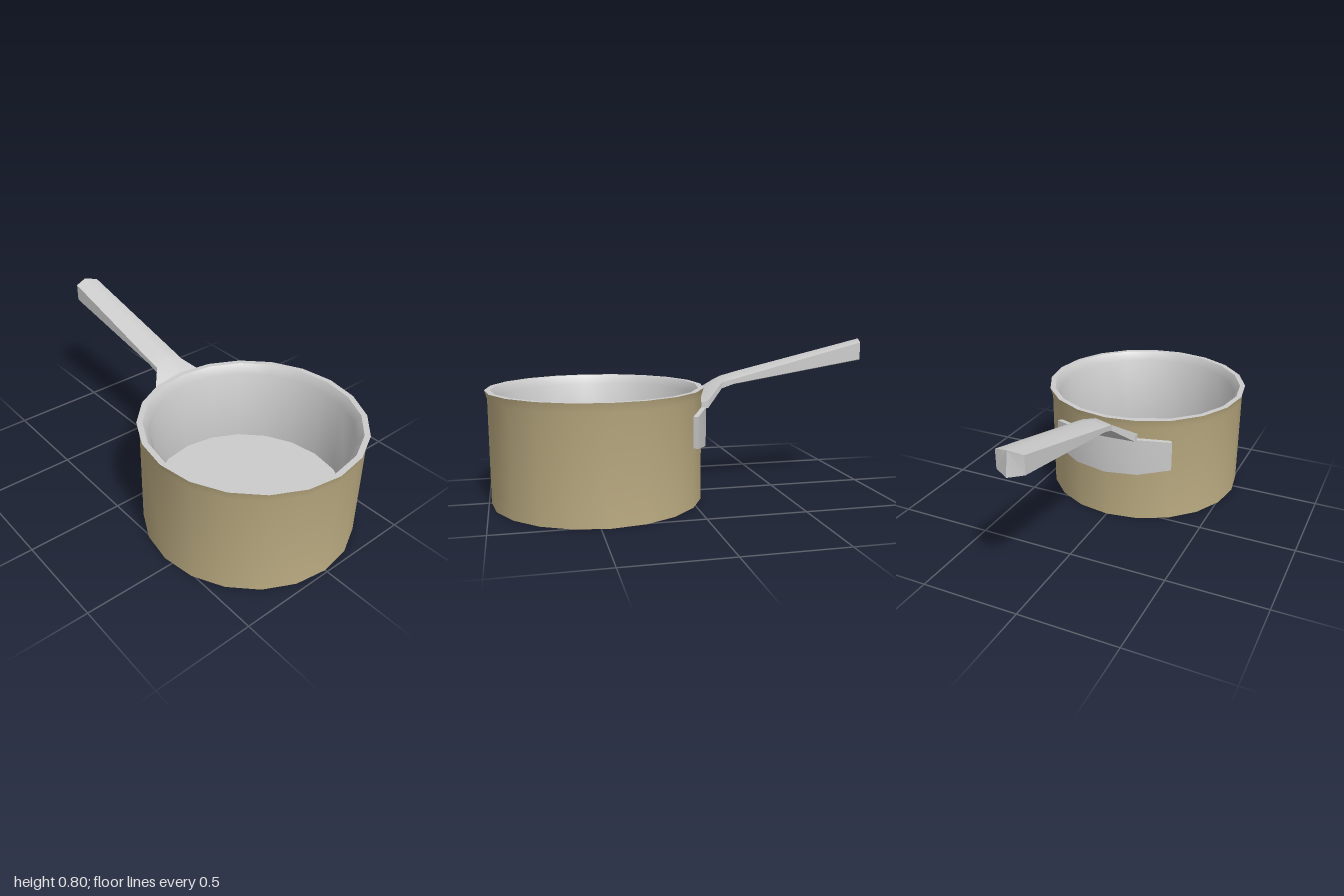
import * as THREE from 'three';
import { toCreasedNormals } from 'three/addons/utils/BufferGeometryUtils.js';

const POT_Z = 0.4525; // pot axis
const SIDES = 20;

// Joins equal-sized rings of [x, y, z] corners (clockwise along the path) into a capped solid.
function loft(rings, crease) {
  const n = rings[0].length;
  const index = [];
  for (let i = 0; i < rings.length - 1; i++) {
    for (let j = 0; j < n; j++) {
      const a = i * n + j, b = i * n + (j + 1) % n;
      index.push(a, b, b + n, a, b + n, a + n);
    }
  }
  const last = (rings.length - 1) * n;
  for (let j = 1; j < n - 1; j++) {
    index.push(0, j + 1, j);
    index.push(last, last + j, last + j + 1);
  }
  const geo = new THREE.BufferGeometry();
  geo.setAttribute('position', new THREE.Float32BufferAttribute(rings.flat(2), 3));
  geo.setIndex(index);
  return toCreasedNormals(geo, crease);
}

function turned(profile) {
  const geo = new THREE.LatheGeometry(profile.map(([r, y]) => new THREE.Vector2(r, y)), SIDES);
  return toCreasedNormals(geo, 0.7).translate(0, 0, POT_Z);
}

export function createModel() {
  const model = new THREE.Group();
  model.name = 'saucepan';
  const steel = new THREE.MeshStandardMaterial({ color: 0xcccccc });
  const tan = new THREE.MeshStandardMaterial({ color: 0xbcac82 });
  const add = (name, geometry, material) => {
    const mesh = new THREE.Mesh(geometry, material);
    mesh.name = name;
    model.add(mesh);
  };

  // Coloured outside with flared lip, then the bare metal rim, inner wall and floor
  add('potOutside', turned([[0, 0], [0.535, 0], [0.535, 0.53], [0.548, 0.575]]), tan);
  add('potInside', turned([[0.548, 0.575], [0.52, 0.575], [0.49, 0.53], [0.49, 0.13], [0, 0.13]]), steel);

  // Curved plate following four facets of the pot's back
  const plate = [];
  for (let k = -2; k <= 2; k++) {
    const angle = k * 2 * Math.PI / SIDES;
    const at = (r, y) => [r * Math.sin(angle), y, POT_Z - r * Math.cos(angle)];
    const top = [0.48, 0.475, 0.457][Math.abs(k)];
    const bottom = [0.27, 0.277, 0.3][Math.abs(k)];
    plate.push([at(0.56, top), at(0.532, top), at(0.532, bottom), at(0.56, bottom)]);
  }
  add('handleBracket', loft(plate, 0.5), steel);

  // Neck and handle: half width, side z, ridge z, keel z, then heights of
  // ridge, upper side edge, lower side edge and keel
  const sections = [
    [0.165, -0.06, -0.06, -0.06, 0.515, 0.5, 0.465, 0.465],
    [0.165, -0.095, -0.1, -0.105, 0.548, 0.51, 0.472, 0.472],
    [0.08, -0.19, -0.2, -0.2, 0.613, 0.588, 0.557, 0.55],
    [0.08, -0.26, -0.28, -0.26, 0.634, 0.605, 0.58, 0.563],
    [0.068, -0.965, -0.985, -1, 0.797, 0.78, 0.69, 0.68],
  ];
  const handle = sections.map(([w, zs, zr, zk, ridge, upper, lower, keel]) => [
    [0, ridge, zr], [w, upper, zs], [w, lower, zs],
    [0, keel, zk], [-w, lower, zs], [-w, upper, zs],
  ]);
  add('handle', loft(handle, 0.6), steel);

  return model;
}
